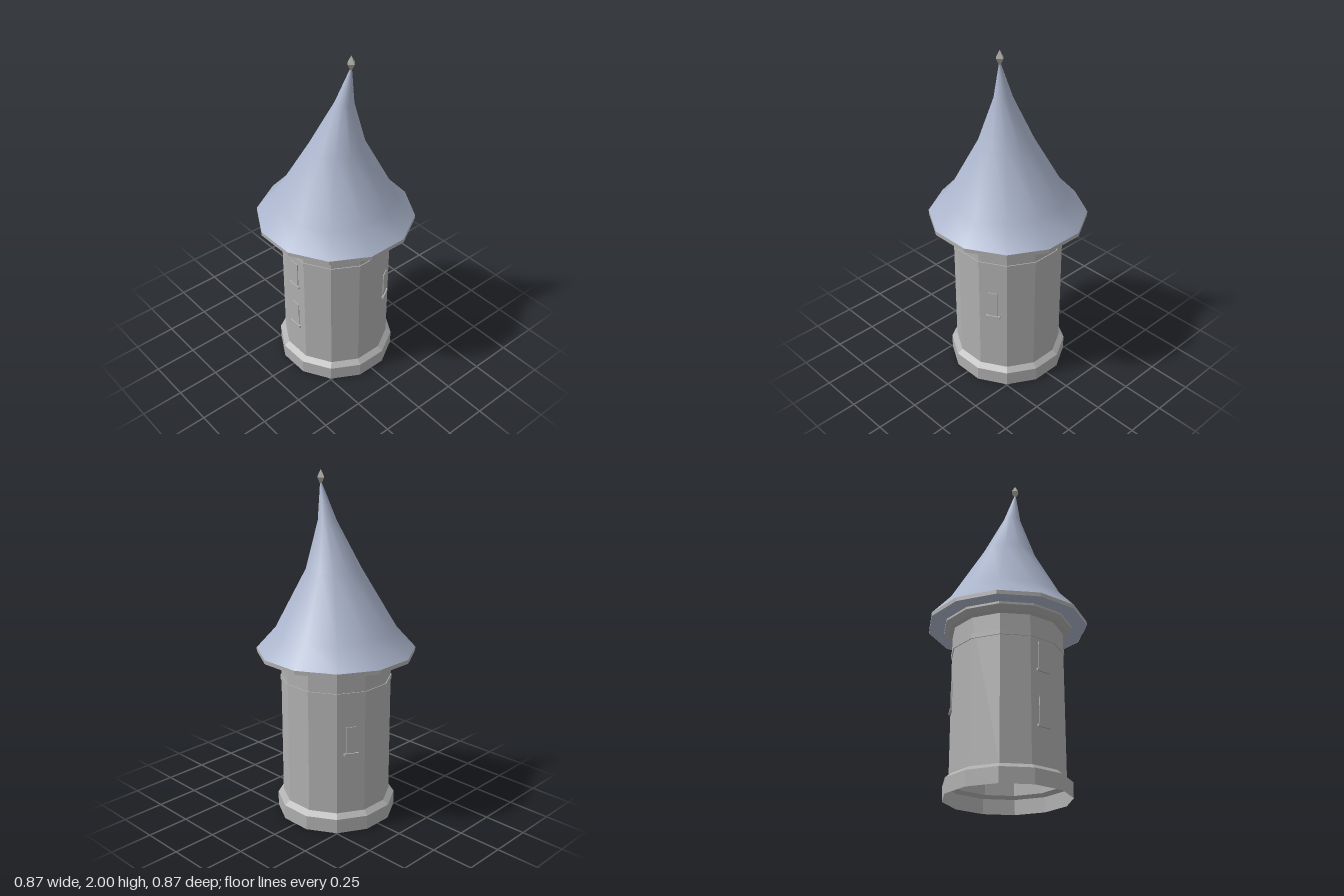
import * as THREE from 'three';
import { mergeVertices } from 'three/addons/utils/BufferGeometryUtils.js';

const SIDES = 12;
const CORNER = 1 / Math.cos(Math.PI / SIDES); // flat-to-centre distance -> corner radius

// Twelve-sided ring surface from [flat distance, height] pairs, listed bottom to top
function ring(profile) {
  const points = profile.map(([d, y]) => new THREE.Vector2(d * CORNER, y));
  return new THREE.LatheGeometry(points, SIDES, Math.PI / SIDES);
}

function faceted(geometry) {
  const flat = geometry.toNonIndexed();
  flat.computeVertexNormals();
  return flat;
}

export function createModel() {
  const model = new THREE.Group();
  model.name = 'tower';

  const stone = new THREE.MeshStandardMaterial({ color: 0xb0b0b0, side: THREE.DoubleSide });
  stone.name = 'grey stone';
  const slate = new THREE.MeshStandardMaterial({ color: 0xacb6cd, side: THREE.DoubleSide });
  slate.name = 'blue slate';
  const metal = new THREE.MeshStandardMaterial({ color: 0xaeaaa3, side: THREE.DoubleSide });
  metal.name = 'warm grey';

  function add(name, geometry, material, parent = model) {
    const mesh = new THREE.Mesh(geometry, material);
    mesh.name = name;
    parent.add(mesh);
    return mesh;
  }

  // Stonework, open at the bottom
  add('plinth', faceted(ring([[0.335, 0], [0.335, 0.085], [0.305, 0.11]])), stone);
  add('wall', faceted(ring([[0.304, 0.1], [0.304, 0.94]])), stone);
  add('stringCourse', faceted(ring([[0.304, 0.81], [0.309, 0.81], [0.309, 0.838], [0.304, 0.838]])), stone);
  add('collar', faceted(ring([[0.304, 0.935], [0.325, 0.945], [0.352, 0.967], [0.352, 0.98]])), stone);

  // Eaves: grey edge and slate underside
  add('eavesEdge', faceted(ring([[0.4365, 0.98], [0.4365, 1.003]])), stone);
  add('soffit', faceted(ring([[0.3, 0.981], [0.436, 0.981]])), slate);

  // Roof: each level is [flat distance, height, x shift, z shift]
  const levels = [
    [0.4365, 1.003, 0, 0],
    [0.33, 1.125, 0, 0],
    [0.15, 1.46, 0.013, -0.004],
    [0.05, 1.725, 0.05, -0.018],
    [0.004, 1.93, 0.086, -0.03],
  ];
  let roof = ring(levels);
  const pos = roof.attributes.position;
  for (let i = 0; i < pos.count; i++) {
    const [, , dx, dz] = levels[i % levels.length];
    pos.setX(i, pos.getX(i) + dx);
    pos.setZ(i, pos.getZ(i) + dz);
  }
  roof.deleteAttribute('uv');
  roof.deleteAttribute('normal');
  roof = mergeVertices(roof, 1e-5);
  roof.computeVertexNormals();
  add('roof', roof, slate);

  // Finial: small four-sided diamond
  const diamond = [[0.001, 1.912], [0.026, 1.957], [0, 2]].map(([r, y]) => new THREE.Vector2(r, y));
  add('finial', faceted(new THREE.LatheGeometry(diamond, 4)), metal).position.set(0.086, 0, -0.03);

  // Window panels with sills: [angle around the tower in degrees, sill height]
  for (const [angle, y] of [[0, 0.315], [0, 0.62], [120, 0.465], [240, 0.465]]) {
    const frame = new THREE.Group();
    frame.name = 'window';
    frame.rotation.y = THREE.MathUtils.degToRad(angle);
    add('windowPanel', new THREE.BoxGeometry(0.056, 0.16, 0.009), stone, frame).position.set(0, y + 0.09, 0.3045);
    add('windowSill', new THREE.BoxGeometry(0.084, 0.014, 0.016), stone, frame).position.set(0, y + 0.007, 0.308);
    model.add(frame);
  }

  return model;
}
